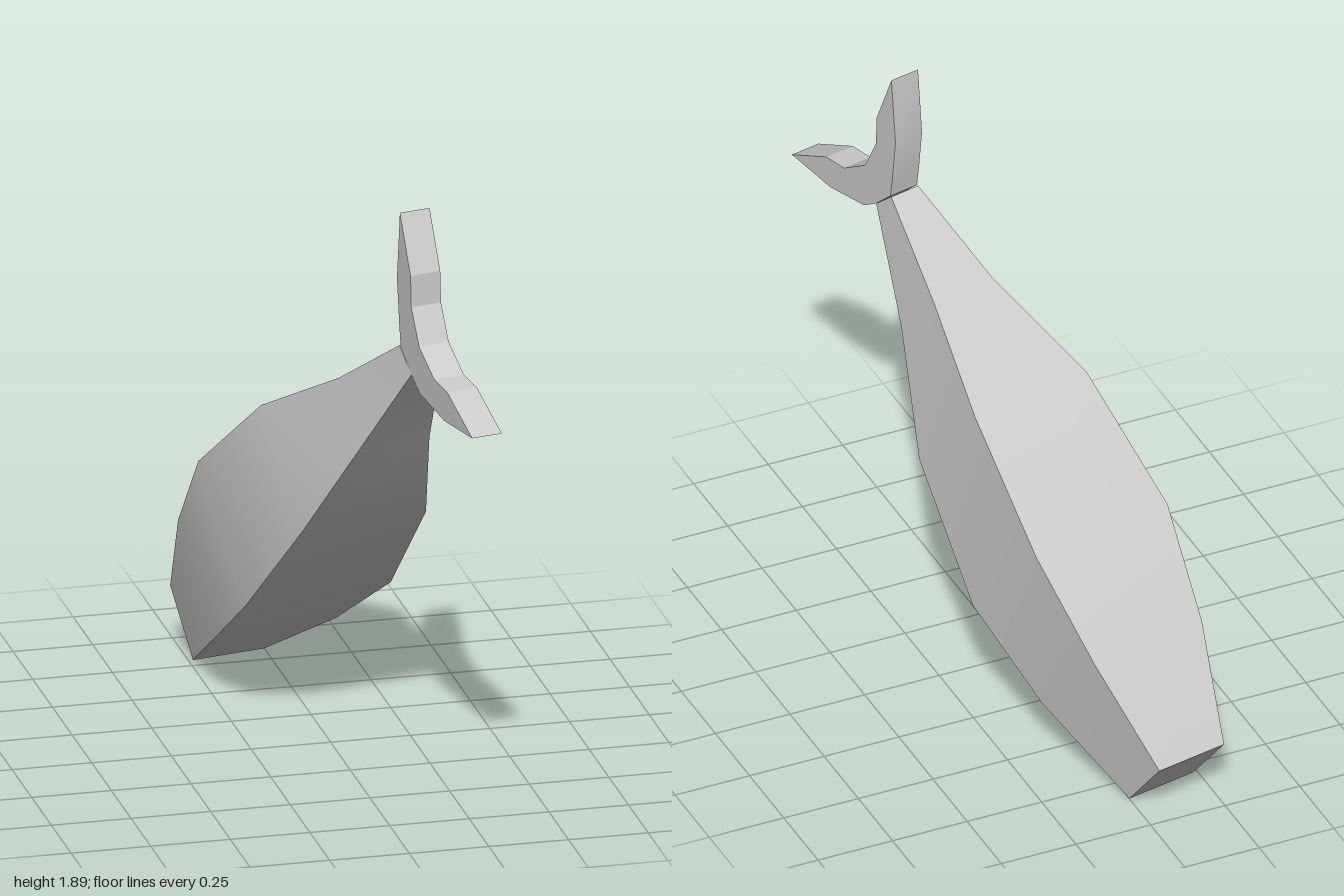
import * as THREE from 'three';
import { toCreasedNormals } from 'three/addons/utils/BufferGeometryUtils.js';

const YAW = 0.2;

// Body stations from tail root to cut end: [z, y, half width] of the lower and upper edge
const STATIONS = [
  { low: [0.57, 1.39, 0.049], high: [0.49, 1.46, 0.051] },
  { low: [0.347, 1.085, 0.117], high: [0.184, 1.26, 0.112] },
  { low: [0.128, 0.755, 0.209], high: [-0.163, 1.07, 0.21] },
  { low: [-0.199, 0.41, 0.245], high: [-0.531, 0.77, 0.247] },
  { low: [-0.5, 0.2, 0.204], high: [-0.77, 0.49, 0.202] },
  { low: [-0.837, 0, 0.12], high: [-0.995, 0.19, 0.122] },
];

// Side outline of the curved fluke: [z, y]
const FLUKE = [
  [0.49, 1.89], [0.566, 1.71], [0.571, 1.61], [0.627, 1.5], [0.735, 1.43],
  [0.827, 1.42], [1.005, 1.33], [0.806, 1.32], [0.632, 1.35], [0.571, 1.39],
  [0.495, 1.46], [0.485, 1.53], [0.469, 1.67],
];

// Loft of four-cornered sections, closed at both ends
function bodyGeometry() {
  const positions = [];
  const index = [];
  for (const { low: [lz, ly, lw], high: [hz, hy, hw] } of STATIONS) {
    positions.push(-lw, ly, lz, lw, ly, lz, hw, hy, hz, -hw, hy, hz);
  }
  for (let i = 0; i < STATIONS.length - 1; i++) {
    for (let k = 0; k < 4; k++) {
      const a = i * 4 + k;
      const b = i * 4 + ((k + 1) % 4);
      index.push(a, a + 4, b, b, a + 4, b + 4);
    }
  }
  const e = (STATIONS.length - 1) * 4;
  index.push(0, 1, 2, 0, 2, 3, e, e + 2, e + 1, e, e + 3, e + 2);
  const geometry = new THREE.BufferGeometry();
  geometry.setAttribute('position', new THREE.Float32BufferAttribute(positions, 3));
  geometry.setIndex(index);
  return toCreasedNormals(geometry, 0.5);
}

// Outline extruded across the width
function flukeGeometry() {
  const width = 0.1;
  const shape = new THREE.Shape(FLUKE.map(([z, y]) => new THREE.Vector2(z, y)));
  const geometry = new THREE.ExtrudeGeometry(shape, { depth: width, bevelEnabled: false });
  geometry.translate(0, 0, -width / 2);
  geometry.rotateY(-Math.PI / 2);
  return toCreasedNormals(geometry, 0.3);
}

export function createModel() {
  const model = new THREE.Group();
  model.name = 'tail';
  const material = new THREE.MeshStandardMaterial({ color: 0xcccccc });

  // Both parts share one symmetry plane, turned slightly about y
  const turned = new THREE.Group();
  turned.name = 'turnedTail';
  turned.rotation.y = YAW;
  turned.position.x = 0.048;
  model.add(turned);

  const body = new THREE.Mesh(bodyGeometry(), material);
  body.name = 'body';
  const fluke = new THREE.Mesh(flukeGeometry(), material);
  fluke.name = 'fluke';
  turned.add(body, fluke);

  return model;
}
